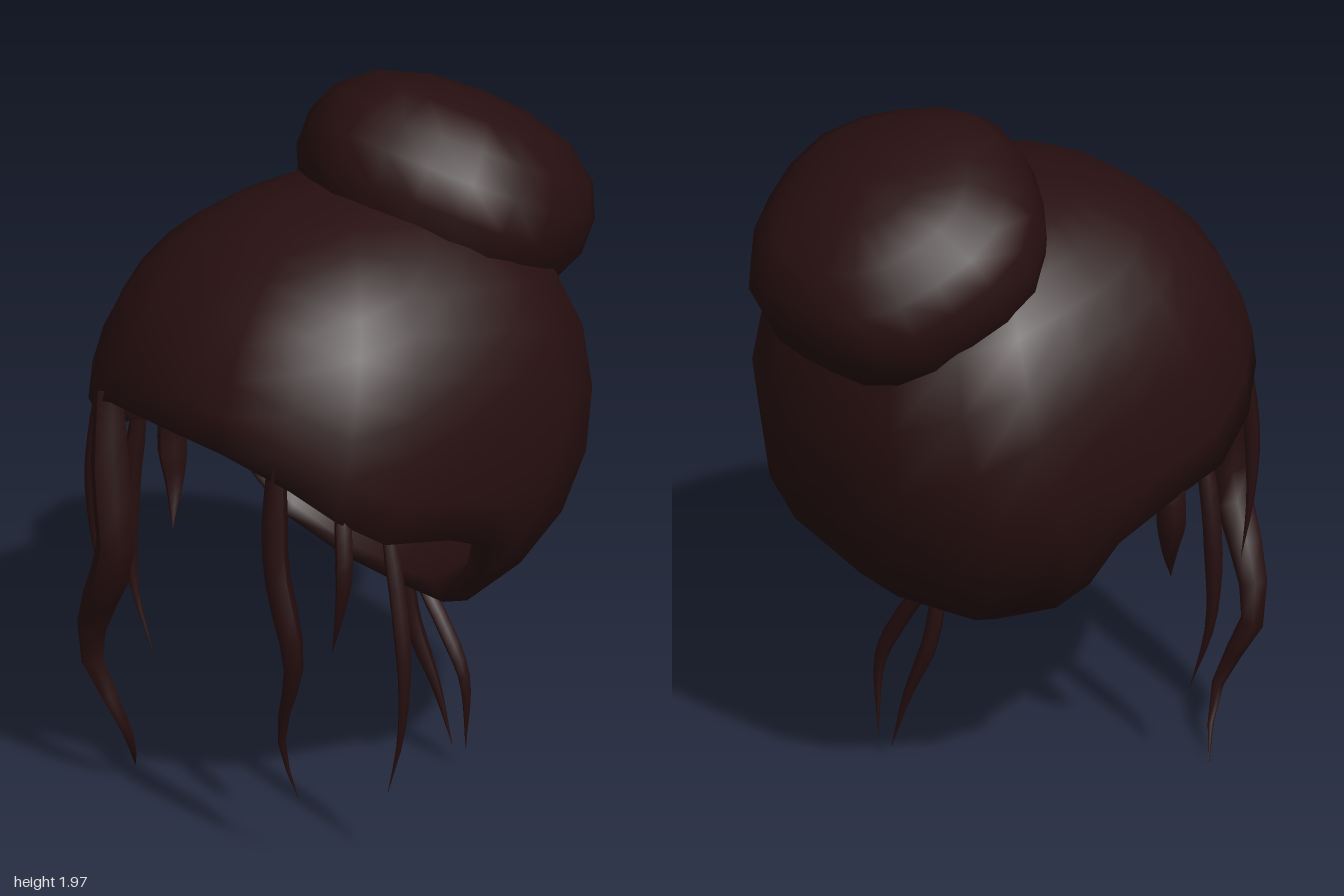
import * as THREE from 'three';
import { mergeVertices } from 'three/addons/utils/BufferGeometryUtils.js';

const hair = new THREE.MeshStandardMaterial({ color: 0x270f10 });
hair.name = 'dark brown hair';

const CENTRE = new THREE.Vector3(0, 1.12, 0.03);

// Rounded skull form: distance from the centre to the surface along a direction
function skullRadius(d) {
  const rz = d.z > 0 ? 0.67 : 0.615;
  const h = Math.pow(Math.abs(d.x) / 0.58, 2.8) + Math.pow(Math.abs(d.z) / rz, 2.8);
  return Math.pow(Math.pow(h, 2.2 / 2.8) + Math.pow(Math.abs(d.y) / 0.62, 2.2), -1 / 2.2);
}

// Hairline from the forehead round the left side to the nape
const HAIRLINE = [
  [0, 1.23, 0.68], [0.22, 1.22, 0.66], [0.4, 1.15, 0.58], [0.48, 1.06, 0.49],
  [0.53, 0.97, 0.36], [0.55, 0.93, 0.15], [0.53, 0.86, 0], [0.46, 0.72, -0.04],
  [0.38, 0.6, -0.08], [0.2, 0.53, -0.14], [0, 0.51, -0.16],
];

// Hollow cap: rows run from the crown to the hairline, then back up inside
function capGeometry() {
  const rows = 10, cols = 20, pos = [], idx = [];
  const addRow = (t, scale) => {
    for (let j = 0; j < cols; j++) {
      const k = j <= 10 ? j : cols - j, side = j <= 10 ? 1 : -1;
      const rim = new THREE.Vector3(...HAIRLINE[k]).sub(CENTRE).normalize();
      const azimuth = THREE.MathUtils.lerp((k * Math.PI) / 10, Math.atan2(rim.x, rim.z), t ** 3);
      const d = new THREE.Vector3().setFromSphericalCoords(1, t * Math.acos(rim.y), side * azimuth);
      d.multiplyScalar(skullRadius(d) * scale).add(CENTRE);
      pos.push(d.x, d.y, d.z);
    }
  };
  for (let i = 0; i <= rows; i++) addRow(i / rows, 1);
  for (let i = rows; i >= 0; i--) addRow(i / rows, 0.9);
  for (let i = 0; i < rows * 2 + 1; i++) {
    for (let j = 0; j < cols; j++) {
      const a = i * cols + j, c = i * cols + ((j + 1) % cols);
      idx.push(a, a + cols, c, a + cols, c + cols, c);
    }
  }
  let g = new THREE.BufferGeometry();
  g.setAttribute('position', new THREE.Float32BufferAttribute(pos, 3));
  g.setIndex(idx);
  g = mergeVertices(g, 1e-4);
  g.computeVertexNormals();
  return g;
}

// Bun: turned profile with a gently lumpy rim
function bunGeometry() {
  const profile = [[0, -0.24], [0.22, -0.21], [0.36, -0.11], [0.41, 0], [0.41, 0.1],
    [0.37, 0.19], [0.28, 0.265], [0.15, 0.305], [0, 0.32]].map(p => new THREE.Vector2(...p));
  let g = new THREE.LatheGeometry(profile, 20);
  const p = g.attributes.position;
  for (let i = 0; i < p.count; i++) {
    const x = p.getX(i), z = p.getZ(i), r = Math.hypot(x, z);
    const s = 1 + 0.025 * Math.cos(5 * Math.atan2(x, z)) * Math.min(1, r / 0.3);
    p.setXYZ(i, x * s, p.getY(i), z * s);
  }
  g.deleteAttribute('uv');
  g.deleteAttribute('normal');
  g = mergeVertices(g, 1e-4);
  g.computeVertexNormals();
  return g;
}

// Loose strand: a tube narrowed to a point at its tip
function strandGeometry(points, radius) {
  const curve = new THREE.CatmullRomCurve3(points.map(p => new THREE.Vector3(...p)));
  const steps = 12, sides = 6;
  const g = new THREE.TubeGeometry(curve, steps, radius, sides);
  const p = g.attributes.position, v = new THREE.Vector3();
  for (let i = 0; i < p.count; i++) {
    const t = Math.floor(i / (sides + 1)) / steps;
    const c = curve.getPointAt(t);
    const s = Math.max(0.02, Math.min(1, (1 - t) * 1.8, 0.7 + t * 2));
    v.fromBufferAttribute(p, i).sub(c).multiplyScalar(s).add(c);
    p.setXYZ(i, v.x, v.y, v.z);
  }
  g.computeVertexNormals();
  return g;
}

const STRANDS = [
  ['rightFrontLock', 0.055, [[-0.31, 1.22, 0.61], [-0.29, 0.95, 0.62], [-0.27, 0.75, 0.62], [-0.36, 0.57, 0.6],
    [-0.42, 0.4, 0.58], [-0.34, 0.2, 0.53], [-0.36, 0.1, 0.48], [-0.43, 0.01, 0.41]]],
  ['rightFrontWisp', 0.022, [[-0.39, 1.2, 0.56], [-0.41, 0.95, 0.58], [-0.415, 0.75, 0.57], [-0.4, 0.57, 0.55]]],
  ['leftFrontLock', 0.036, [[0.35, 1.22, 0.59], [0.36, 0.92, 0.6], [0.41, 0.64, 0.58], [0.345, 0.45, 0.56],
    [0.33, 0.35, 0.55], [0.36, 0.21, 0.52]]],
  ['leftTempleWisp', 0.025, [[0.47, 1.1, 0.46], [0.5, 0.9, 0.48], [0.48, 0.77, 0.48], [0.44, 0.65, 0.47]]],
  ['leftSideStrand', 0.024, [[0.5, 1.03, 0.33], [0.55, 0.8, 0.33], [0.575, 0.6, 0.33], [0.56, 0.4, 0.33], [0.52, 0.23, 0.34]]],
  ['rightSideStrand', 0.027, [[-0.5, 1.03, 0.33], [-0.54, 0.75, 0.33], [-0.53, 0.5, 0.33], [-0.47, 0.29, 0.31]]],
  ['rightEarWisp', 0.042, [[-0.51, 1, 0.2], [-0.52, 0.88, 0.2], [-0.5, 0.76, 0.21], [-0.46, 0.64, 0.25]]],
  ['napeStrandInner', 0.023, [[0, 0.58, -0.17], [0.02, 0.4, -0.19], [0.08, 0.22, -0.22], [0.12, 0.06, -0.24]]],
  ['napeStrandOuter', 0.023, [[0.04, 0.57, -0.18], [0.13, 0.43, -0.2], [0.19, 0.29, -0.22], [0.18, 0.07, -0.235]]],
];

export function createModel() {
  const group = new THREE.Group();
  group.name = 'hairstyle';
  const add = (name, geometry) => {
    const mesh = new THREE.Mesh(geometry, hair);
    mesh.name = name;
    group.add(mesh);
    return mesh;
  };

  add('hairCap', capGeometry());

  // Bun leaning back on the crown
  const bun = add('bun', bunGeometry());
  bun.position.set(0, 1.61, -0.29);
  bun.rotation.x = -0.5;

  for (const [name, radius, points] of STRANDS) add(name, strandGeometry(points, radius));
  return group;
}
